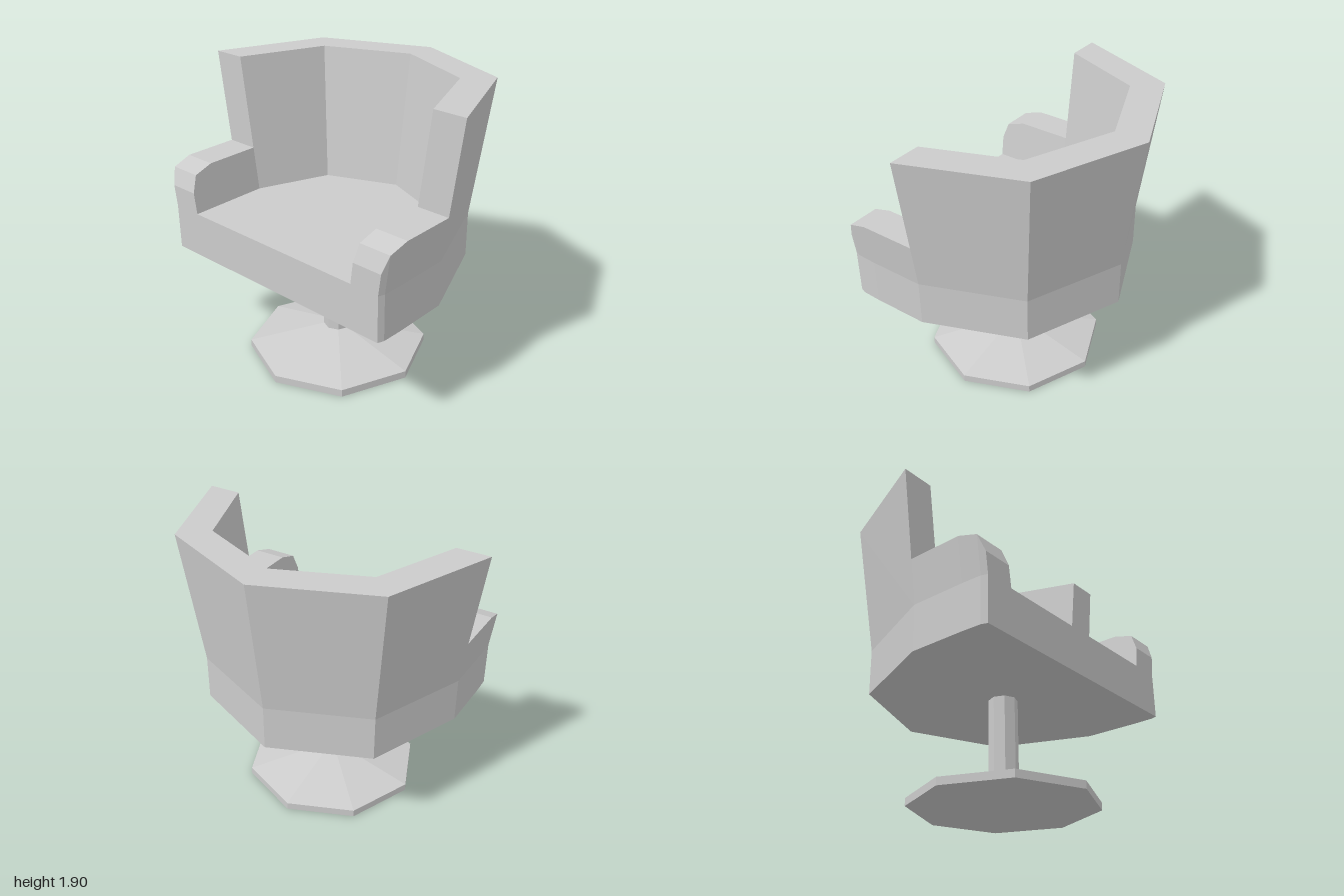
import * as THREE from 'three';

const material = new THREE.MeshStandardMaterial({ color: 0xcccccc, flatShading: true });
const BOTTOM = 0.7, SEAT = 1.0, TOP = 1.9;
const PEDESTAL_X = -0.175;

// Cross-section of the padded wall: straight up to the seat, then flaring outwards.
// outer/inner are [x, z] at seat level, outerTop/innerTop the same at the full back height.
function section({ outer, outerTop, inner, innerTop, height = TOP }) {
  const t = (height - SEAT) / (TOP - SEAT);
  const at = (a, b, k, y) => new THREE.Vector3(a[0] + (b[0] - a[0]) * k, y, a[1] + (b[1] - a[1]) * k);
  return [
    at(outer, outer, 0, BOTTOM), at(outer, outer, 0, SEAT), at(outer, outerTop, t, height),
    at(inner, innerTop, t, height), at(inner, inner, 0, SEAT), at(inner, inner, 0, BOTTOM),
  ];
}

// Joins the sections into a closed solid.
function loft(sections) {
  const n = sections[0].length;
  const positions = [];
  const tri = (...points) => points.forEach((p) => positions.push(p.x, p.y, p.z));
  for (let s = 0; s < sections.length - 1; s++) {
    const a = sections[s], b = sections[s + 1];
    for (let i = 0; i < n; i++) {
      const j = (i + 1) % n;
      tri(a[i], b[i], a[j]);
      tri(b[i], b[j], a[j]);
    }
  }
  // End caps, fanned from the inner seat-level corner
  const first = sections[0], last = sections[sections.length - 1];
  for (let k = 5; k < 9; k++) {
    const i = k % n, j = (k + 1) % n;
    tri(first[4], first[i], first[j]);
    tri(last[4], last[j], last[i]);
  }
  const geometry = new THREE.BufferGeometry();
  geometry.setAttribute('position', new THREE.Float32BufferAttribute(positions, 3));
  geometry.computeVertexNormals();
  return geometry;
}

function mirrorZ(station) {
  const flip = ([x, z]) => [x, -z];
  return {
    outer: flip(station.outer), outerTop: flip(station.outerTop),
    inner: flip(station.inner), innerTop: flip(station.innerTop), height: station.height,
  };
}

export function createModel() {
  const group = new THREE.Group();
  const add = (name, geometry, x = 0, y = 0) => {
    const mesh = new THREE.Mesh(geometry, material);
    mesh.name = name;
    mesh.position.set(x, y, 0);
    group.add(mesh);
  };

  // Faceted backrest wrapping round the seat
  const half = [
    { outer: [-0.24, 0.88], outerTop: [-0.24, 1.0], inner: [-0.24, 0.66], innerTop: [-0.24, 0.78] },
    { outer: [0.39, 0.63], outerTop: [0.48, 0.72], inner: [0.24, 0.47], innerTop: [0.32, 0.56] },
  ];
  const middle = { outer: [0.65, 0], outerTop: [0.77, 0], inner: [0.43, 0], innerTop: [0.55, 0] };
  const back = [...half, middle, ...half.map(mirrorZ).reverse()];
  add('backrest', loft(back.map(section)));

  // Low armrests with a rounded front
  const arm = [[-0.78, 1.14, 0.86], [-0.74, 1.25, 0.875], [-0.61, 1.29, 0.88], [-0.24, 1.29, 0.88]]
    .map(([x, height, z]) => ({
      outer: [x, z], outerTop: [x, z + 0.12], inner: [x, 0.66], innerTop: [x, 0.78], height,
    }));
  add('armrestFront', loft(arm.map(section)));
  add('armrestRear', loft(arm.map(mirrorZ).reverse().map(section)));

  // Solid seat filling the space inside the wall
  const seatShape = new THREE.Shape([
    [-0.78, -0.66], [-0.24, -0.66], [0.24, -0.47], [0.43, 0], [0.24, 0.47], [-0.24, 0.66], [-0.78, 0.66],
  ].map(([x, z]) => new THREE.Vector2(x, z)));
  const seat = new THREE.ExtrudeGeometry(seatShape, { depth: SEAT - BOTTOM, bevelEnabled: false });
  seat.rotateX(Math.PI / 2);
  add('seat', seat, 0, SEAT);

  // Eight-sided pedestal: rim, sloping foot and column
  add('footRim', new THREE.CylinderGeometry(0.597, 0.597, 0.05, 8), PEDESTAL_X, 0.025);
  add('footSlope', new THREE.CylinderGeometry(0.093, 0.597, 0.12, 8, 1, true), PEDESTAL_X, 0.11);
  add('column', new THREE.CylinderGeometry(0.093, 0.093, 0.55, 8), PEDESTAL_X, 0.435);

  return group;
}
